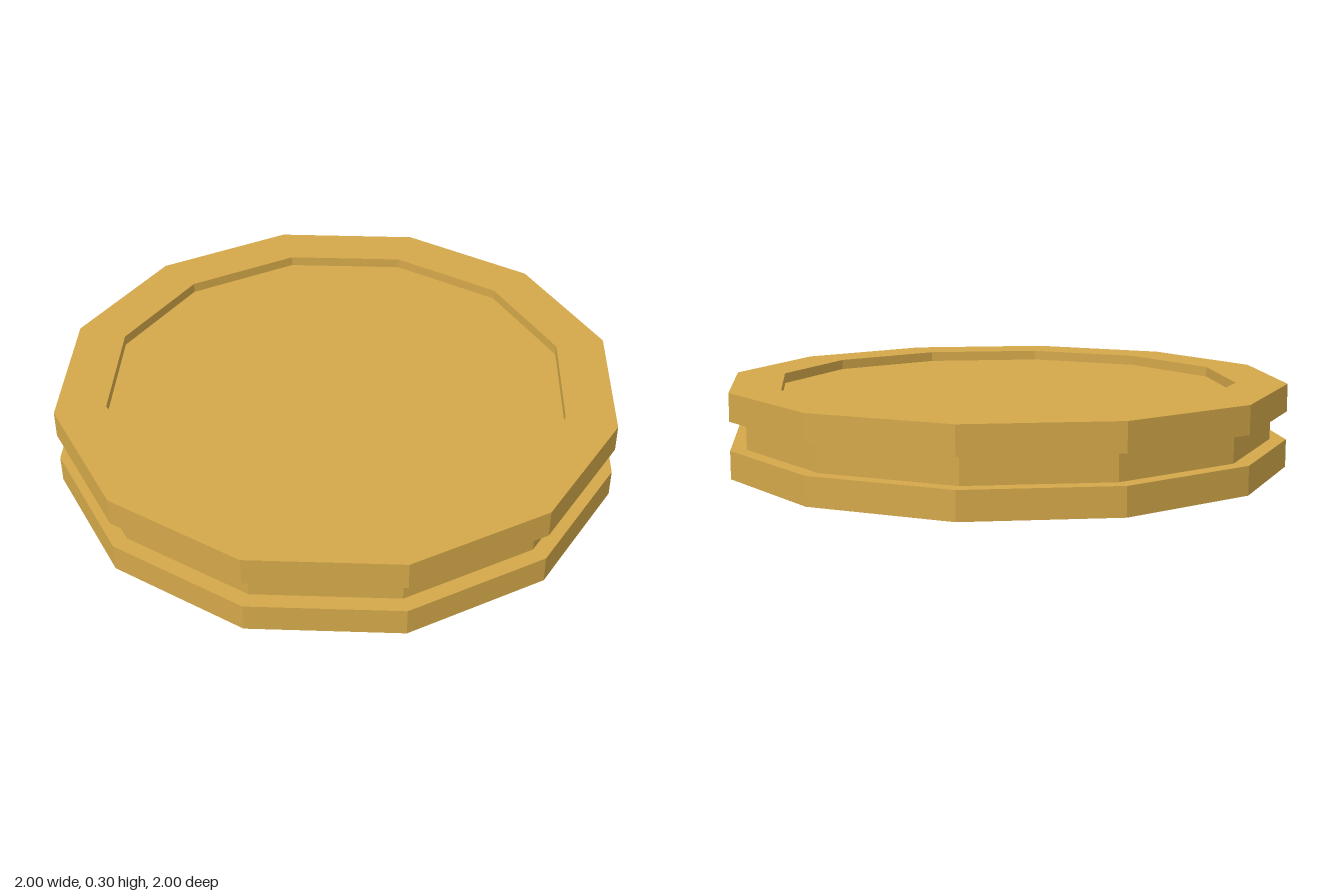
import * as THREE from 'three';

const SIDES = 12;
const HEIGHT = 0.296, FLANGE = 0.098, RECESS = 0.036;
const OUTER = 1, WAIST = 0.943, INNER = 0.82;

// Revolve a profile into a twelve-sided ring with crisp facets
function facetedRing(points) {
  const profile = points.map(([r, y]) => new THREE.Vector2(r, y));
  const geometry = new THREE.LatheGeometry(profile, SIDES).toNonIndexed();
  geometry.computeVertexNormals();
  return geometry;
}

export function createModel() {
  const gold = new THREE.MeshStandardMaterial({ color: 0xd4a84a });
  gold.name = 'gold';
  const model = new THREE.Group();
  model.name = 'groovedDisc';

  const add = (name, geometry, parent) => {
    const mesh = new THREE.Mesh(geometry, gold);
    mesh.name = name;
    parent.add(mesh);
    return mesh;
  };

  // Raised rim with a sunken panel, used on both faces of the disc
  const rimGeometry = facetedRing([
    [INNER, RECESS], [INNER, 0], [OUTER, 0], [OUTER, FLANGE], [WAIST, FLANGE],
  ]);
  const panelGeometry = new THREE.CircleGeometry(INNER, SIDES).rotateX(Math.PI / 2);
  for (const side of ['bottom', 'top']) {
    const half = new THREE.Group();
    half.name = side + 'Half';
    add(side + 'Rim', rimGeometry, half);
    add(side + 'Panel', panelGeometry, half).position.y = RECESS;
    if (side === 'top') {
      half.rotation.x = Math.PI;
      half.position.y = HEIGHT;
    }
    model.add(half);
  }

  // Groove wall between the two rims
  add('waist', facetedRing([[WAIST, FLANGE], [WAIST, HEIGHT - FLANGE]]), model);

  return model;
}
